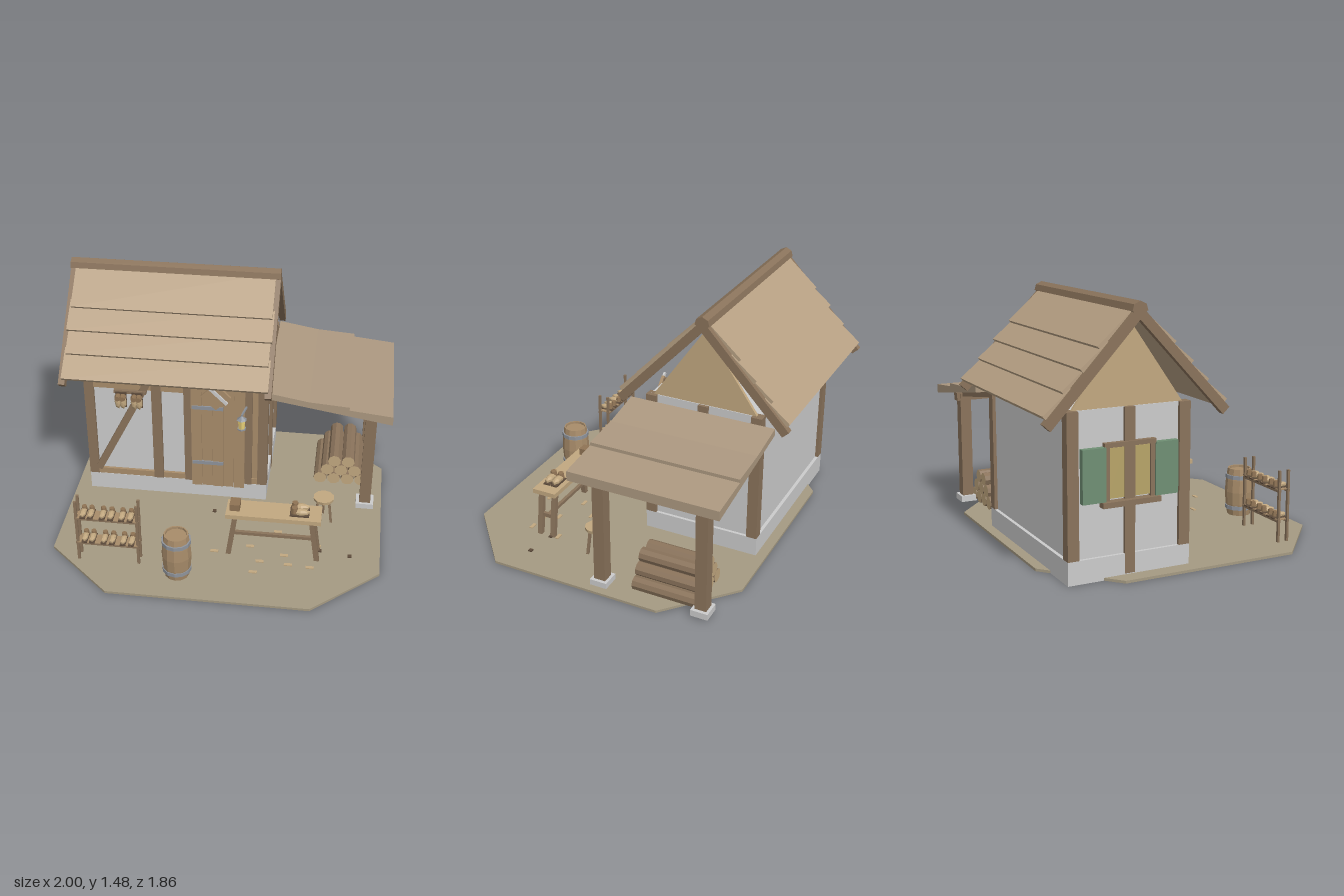
import * as THREE from 'three';

const mat = (color) => new THREE.MeshStandardMaterial({ color, flatShading: true, side: THREE.DoubleSide });
const M = {
  timber: mat(0x8a735b), plank: mat(0xa88c6a), roof: mat(0xb8a184), leanTo: mat(0xac9880), light: mat(0xc2a880),
  plaster: mat(0xcccccc), stone: mat(0xbdbdbd), ground: mat(0xa59a82), iron: mat(0x8f949c), steel: mat(0xd8d8d8),
  glass: mat(0xe8cf78), pane: mat(0xb8a468), shutter: mat(0x6f8f74), leather: mat(0x8f7354), dark: mat(0x5e4c3c),
};

function add(parent, name, geo, m, x = 0, y = 0, z = 0) {
  const mesh = new THREE.Mesh(geo, m);
  mesh.name = name;
  mesh.position.set(x, y, z);
  parent.add(mesh);
  return mesh;
}
// Box from its limits
const box = (p, name, m, x0, x1, y0, y1, z0, z1) =>
  add(p, name, new THREE.BoxGeometry(x1 - x0, y1 - y0, z1 - z0), m, (x0 + x1) / 2, (y0 + y1) / 2, (z0 + z1) / 2);
// Square bar between two points
function bar(p, name, m, a, b, w, d = w) {
  const A = new THREE.Vector3(...a), B = new THREE.Vector3(...b);
  const mesh = add(p, name, new THREE.BoxGeometry(w, A.distanceTo(B), d), m);
  mesh.position.copy(A).add(B).multiplyScalar(0.5);
  mesh.quaternion.setFromUnitVectors(new THREE.Vector3(0, 1, 0), B.sub(A).normalize());
  return mesh;
}
const shapeOf = (pts) => new THREE.Shape(pts.map(([x, y]) => new THREE.Vector2(x, y)));
const extrude = (pts, depth) => new THREE.ExtrudeGeometry(shapeOf(pts), { depth, bevelEnabled: false });
function group(p, name, x = 0, y = 0, z = 0) {
  const g = new THREE.Group();
  g.name = name;
  g.position.set(x, y, z);
  p.add(g);
  return g;
}

function buildHouse(root) {
  const h = group(root, 'house');
  box(h, 'plinth', M.stone, -0.888, 0.248, 0, 0.13, -0.77, -0.05);
  box(h, 'walls', M.plaster, -0.87, 0.23, 0.1, 0.92, -0.75, -0.07);
  // Corner and middle posts
  for (const x of [-0.89, 0.19]) for (const z of [-0.77, -0.115])
    box(h, 'cornerPost', M.timber, x, x + 0.06, 0.13, 0.92, z, z + 0.065);
  for (const x of [-0.89, 0.205]) box(h, 'sidePost', M.timber, x, x + 0.045, 0.02, 0.92, -0.44, -0.38);
  // Front framing
  for (const [x0, x1] of [[-0.47, -0.41], [-0.27, -0.225], [0.11, 0.155]])
    box(h, 'frontPost', M.timber, x0, x1, 0.13, 0.88, -0.08, -0.045);
  box(h, 'topBeam', M.plank, -0.88, 0.24, 0.78, 0.885, -0.09, -0.052);
  box(h, 'sillBeam', M.plank, -0.88, 0.24, 0.13, 0.17, -0.09, -0.052);
  box(h, 'narrowPanel', M.plank, 0.155, 0.19, 0.17, 0.8, -0.08, -0.06);
  bar(h, 'brace', M.timber, [-0.83, 0.17, -0.06], [-0.48, 0.86, -0.06], 0.045, 0.03);
  // Plank door with iron straps
  for (let i = 0; i < 5; i++)
    box(h, 'doorPlank', M.plank, -0.225 + i * 0.067, -0.16 + i * 0.067, 0.1, 0.86, -0.08, -0.042 - (i % 2) * 0.004);
  for (const y of [0.28, 0.69]) box(h, 'doorStrap', M.iron, -0.22, -0.025, y - 0.012, y + 0.012, -0.06, -0.036);
  // Gables
  for (const x of [-0.865, 0.205]) {
    const g = add(h, 'gable', extrude([[0.09, 0.92], [0.73, 0.92], [0.41, 1.38]], 0.02), M.light, x, 0, 0);
    g.rotation.y = Math.PI / 2;
  }
  // Left window with open shutters
  const w = group(h, 'window');
  for (const s of [-1, 1]) {
    const span = (a, b) => s > 0 ? [-0.41 + a, -0.41 + b] : [-0.41 - b, -0.41 - a];
    box(w, 'pane', M.pane, -0.885, -0.86, 0.44, 0.71, ...span(0.03, 0.13));
    box(w, 'windowFrame', M.timber, -0.895, -0.86, 0.43, 0.72, ...span(0.12, 0.145));
    box(w, 'shutter', M.shutter, -0.905, -0.87, 0.43, 0.72, ...span(0.145, 0.28));
  }
  box(w, 'windowSill', M.timber, -0.92, -0.86, 0.4, 0.43, -0.58, -0.24);
  box(w, 'windowHead', M.timber, -0.9, -0.86, 0.715, 0.74, -0.56, -0.26);
}

function buildRoof(root) {
  const roof = group(root, 'mainRoof', -0.36, 1.455, -0.41);
  const angle = Math.atan2(0.565, 0.53);
  for (const turn of [0, Math.PI]) {
    const side = group(roof, 'roofSide');
    side.rotation.y = turn;
    const slope = group(side, 'roofSlope');
    slope.rotation.x = angle;
    box(slope, 'roofBoarding', M.roof, -0.61, 0.61, -0.035, -0.012, 0, 0.73);
    // Lapped boards, each lifted at its lower edge
    [0.3, 0.445, 0.59, 0.745].forEach((end, i) => {
      const len = i ? 0.2 : 0.29, width = 1.22 + (i % 2) * 0.02;
      const b = add(slope, 'roofBoard', new THREE.BoxGeometry(width, 0.026, len), M.roof, 0, 0.002, end - len / 2);
      b.rotation.x = -Math.atan2(0.026, len);
    });
    for (const x of [-0.64, 0.6]) box(slope, 'bargeBoard', M.timber, x, x + 0.04, -0.05, 0.002, -0.01, 0.775);
  }
  // Ridge cap
  const cap = add(roof, 'ridgeCap', extrude([[-0.045, -0.03], [0.045, -0.03], [0.035, 0.005], [0, 0.022], [-0.035, 0.005]], 1.28), M.timber, -0.64, 0, 0);
  cap.rotation.y = Math.PI / 2;
}

function buildLeanTo(root) {
  const l = group(root, 'leanTo');
  add(l, 'leanToRoof', extrude([[0.25, 0.84], [1, 0.715], [1, 0.772], [0.74, 0.8], [0.74, 0.82], [0.5, 0.838], [0.25, 0.882]], 0.895), M.leanTo, 0, 0, -0.85);
  for (const z of [-0.715, -0.09]) {
    box(l, 'porchPost', M.timber, 0.84, 0.91, 0.04, 0.725, z - 0.035, z + 0.035);
    box(l, 'postFoot', M.stone, 0.82, 0.93, 0.012, 0.05, z - 0.052, z + 0.052);
    bar(l, 'rafter', M.timber, [0.24, 0.825, z], [0.93, 0.712, z], 0.04);
  }
  box(l, 'porchBeam', M.timber, 0.845, 0.905, 0.68, 0.73, -0.77, -0.04);
  // Stacked logs
  const logs = group(root, 'logPile');
  for (let row = 0; row < 3; row++) for (let i = 0; i < 4 - row; i++) {
    const c = new THREE.CylinderGeometry(0.042, 0.042, 0.39, 9).rotateX(Math.PI / 2);
    const log = add(logs, 'log', c, [M.timber, M.light, M.light], 0.58 + i * 0.088 + row * 0.044, 0.055 + row * 0.068, -0.475);
    log.rotation.z = i + row * 0.6;
  }
}

// A shoe lying along z, toe forward
function shoe(p, x, y, z, s = 1) {
  const g = group(p, 'shoe', x, y, z);
  const body = new THREE.SphereGeometry(0.022, 7, 5).scale(0.85, 0.75, 2);
  add(g, 'shoeBody', body, M.light, 0, 0.016, 0.005);
  add(g, 'shoeHeel', new THREE.CylinderGeometry(0.014, 0.018, 0.028, 7), M.leather, 0, 0.026, -0.022);
  box(g, 'sole', M.dark, -0.016, 0.016, -0.002, 0.004, -0.042, 0.045);
  g.scale.setScalar(s);
  return g;
}

function buildFurniture(root) {
  // Shoe rack
  const rack = group(root, 'shoeRack');
  for (const x of [-0.8, -0.44]) for (const z of [0.595, 0.655])
    box(rack, 'rackPost', M.timber, x - 0.008, x + 0.008, 0.01, 0.44, z - 0.007, z + 0.007);
  for (const y of [0.15, 0.33]) {
    for (const z of [0.595, 0.655]) box(rack, 'rackRail', M.timber, -0.81, -0.43, y - 0.018, y - 0.002, z - 0.008, z + 0.008);
    box(rack, 'rackShelf', M.plank, -0.8, -0.44, y - 0.006, y, 0.585, 0.665);
    for (const x of [-0.76, -0.715, -0.645, -0.595, -0.53, -0.48]) shoe(rack, x, y, 0.622, 1.05);
  }
  // Barrel
  const barrel = group(root, 'barrel', -0.2, 0.015, 0.71);
  const prof = [[0, 0], [0.072, 0], [0.083, 0.07], [0.088, 0.148], [0.083, 0.225], [0.072, 0.295], [0.064, 0.295], [0.064, 0.28], [0, 0.28]];
  add(barrel, 'staves', new THREE.LatheGeometry(prof.map((q) => new THREE.Vector2(...q)), 12), M.plank);
  for (const y of [0.05, 0.245]) add(barrel, 'hoop', new THREE.CylinderGeometry(0.087, 0.087, 0.024, 12), M.iron, 0, y, 0);
  for (const y of [0.05, 0.245]) barrel.children.at(-1).scale.set(1, 1, 1);
  // Workbench with splayed legs
  const bench = group(root, 'workbench');
  box(bench, 'benchTop', M.light, 0.06, 0.62, 0.297, 0.325, 0.37, 0.522);
  for (const z of [0.402, 0.49]) {
    bar(bench, 'benchLeg', M.timber, [0.075, 0.012, z], [0.115, 0.3, z], 0.03);
    bar(bench, 'benchLeg', M.timber, [0.605, 0.012, z], [0.565, 0.3, z], 0.03);
  }
  for (const x of [0.096, 0.584]) box(bench, 'endRail', M.timber, x - 0.01, x + 0.01, 0.13, 0.155, 0.4, 0.49);
  box(bench, 'stretcher', M.timber, 0.095, 0.585, 0.13, 0.15, 0.436, 0.456);
  box(bench, 'toolBox', M.leather, 0.08, 0.14, 0.325, 0.368, 0.405, 0.48);
  for (const z of [0.42, 0.47]) {
    const s = shoe(bench, 0.49, 0.328, z, 1.3);
    s.rotation.y = Math.PI / 2;
  }
  // Round stool
  const stool = group(root, 'stool', 0.62, 0, 0.095);
  add(stool, 'stoolSeat', new THREE.CylinderGeometry(0.065, 0.062, 0.02, 10), M.light, 0, 0.176, 0);
  for (let i = 0; i < 3; i++) {
    const a = i * Math.PI * 2 / 3 + 0.5, c = Math.cos(a), s = Math.sin(a);
    bar(stool, 'stoolLeg', M.timber, [c * 0.06, 0.012, s * 0.06], [c * 0.038, 0.17, s * 0.038], 0.015);
  }
  // Scraps on the ground
  const scraps = group(root, 'scraps');
  [[0.355, 0.265], [0.31, 0.305], [-0.01, 0.49], [0.24, 0.65], [0.41, 0.48], [0.44, 0.56], [0.6, 0.37], [0.57, 0.57], [0.27, 0.55], [0.2, 0.42]]
    .forEach(([x, z]) => box(scraps, 'scrap', M.light, x - 0.024, x + 0.024, 0.013, 0.021, z - 0.01, z + 0.01));
  for (const [x, z] of [[-0.06, 0.11], [0.8, 0.44], [0.62, 0.41]])
    box(scraps, 'darkScrap', M.dark, x - 0.011, x + 0.011, 0.013, 0.024, z - 0.011, z + 0.011);
}

function buildWallItems(root) {
  // Peg rail with hanging shoes
  const rail = group(root, 'pegRail');
  box(rail, 'rail', M.timber, -0.7, -0.5, 0.757, 0.777, -0.07, -0.035);
  for (const x of [-0.67, -0.64, -0.57, -0.54]) {
    const s = shoe(rail, x, 0.718, -0.035, 1.2);
    s.rotation.x = Math.PI / 2;
  }
  // Hanging sign
  const sign = group(root, 'sign', -0.065, 0.8, -0.005);
  const board = add(sign, 'signBoard', new THREE.BoxGeometry(0.13, 0.13, 0.018), M.plank);
  board.rotation.z = Math.PI / 4;
  bar(sign, 'signStrip', M.steel, [-0.055, 0.085, 0.014], [0.07, -0.04, 0.014], 0.02, 0.012);
  box(sign, 'signArm', M.timber, -0.01, 0.01, 0.06, 0.08, -0.06, 0.01);
  // Lantern on a bracket
  const lamp = group(root, 'lantern', 0.1, 0.62, 0.05);
  add(lamp, 'lanternBase', new THREE.CylinderGeometry(0.028, 0.028, 0.008, 6), M.iron);
  add(lamp, 'lanternGlass', new THREE.CylinderGeometry(0.024, 0.021, 0.062, 6), M.glass, 0, 0.035, 0);
  add(lamp, 'lanternCap', new THREE.ConeGeometry(0.033, 0.028, 6), M.iron, 0, 0.079, 0);
  bar(lamp, 'lanternBracket', M.iron, [0.02, 0.095, -0.1], [0, 0.095, 0.004], 0.01);
}

export function createModel() {
  const root = new THREE.Group();
  root.name = 'workshop';
  const half = [[0.98, 0.57], [0.59, 0.92], [-0.59, 0.92], [-0.98, 0.57], [-0.98, -0.48], [-0.59, -0.83], [0.59, -0.83], [0.98, -0.48]];
  const ground = add(root, 'ground', extrude(half.map(([x, z]) => [x, -z]), 0.015), M.ground);
  ground.rotation.x = -Math.PI / 2;
  buildHouse(root);
  buildRoof(root);
  buildLeanTo(root);
  buildFurniture(root);
  buildWallItems(root);
  return root;
}
